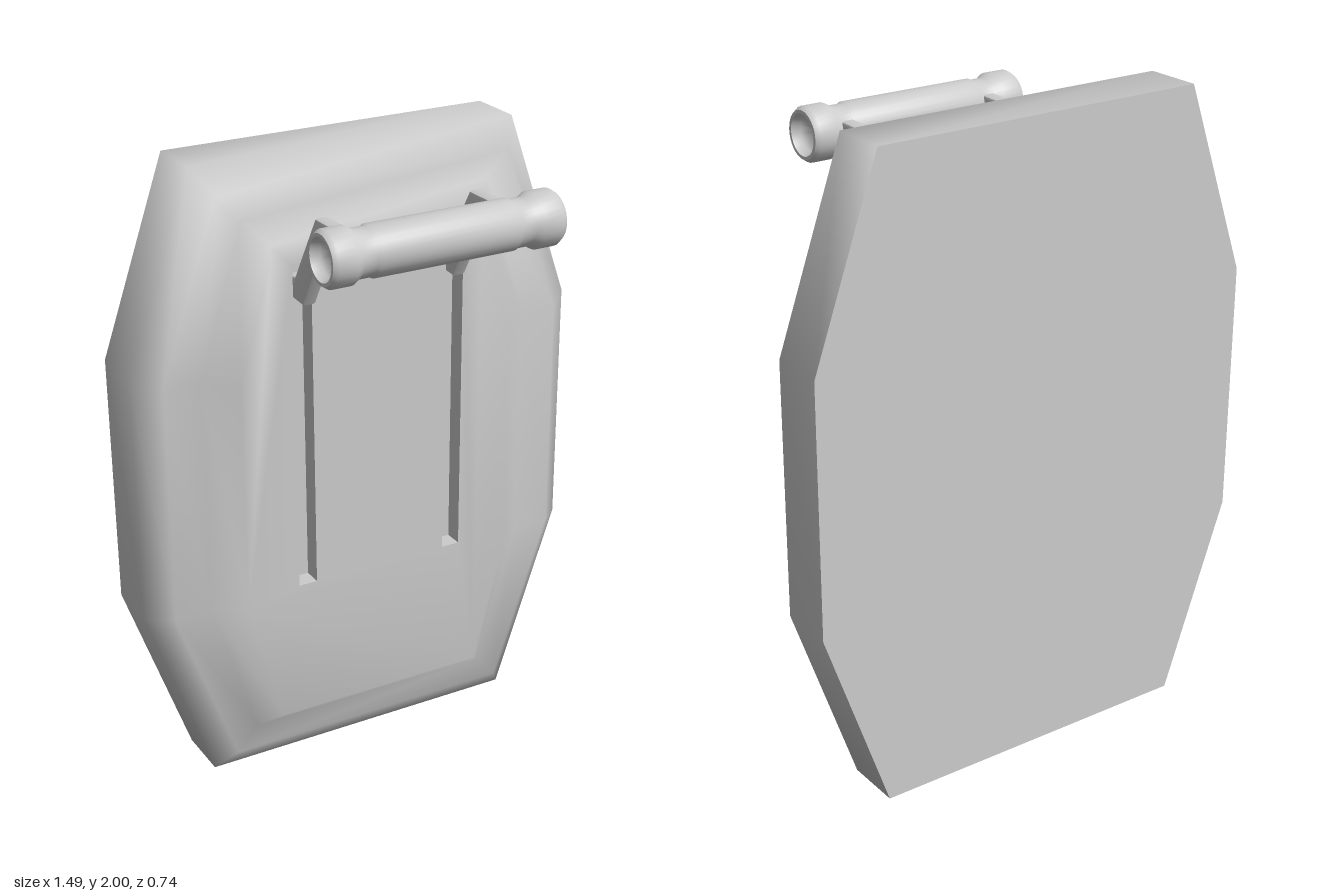
import * as THREE from 'three';
import { mergeGeometries, mergeVertices, toCreasedNormals } from 'three/addons/utils/BufferGeometryUtils.js';

const V = (x, y) => new THREE.Vector2(x, y);

// Elongated octagon, counter-clockwise from the front
function octagon(endHalf, midHalf, margin, midLow, midHigh) {
  return [
    V(-endHalf, margin), V(endHalf, margin), V(midHalf, midLow), V(midHalf, midHigh),
    V(endHalf, 2 - margin), V(-endHalf, 2 - margin), V(-midHalf, midHigh), V(-midHalf, midLow),
  ];
}

function rectangle(x, y0, y1, half) {
  return [V(x - half, y0), V(x + half, y0), V(x + half, y1), V(x - half, y1)];
}

// Walls between successive outlines: facing out when z rises, in when it falls
function loft(rings) {
  const pos = [], index = [], n = rings[0].points.length;
  for (const { points, z } of rings) for (const p of points) pos.push(p.x, p.y, z);
  for (let r = 0; r < rings.length - 1; r++) {
    for (let j = 0; j < n; j++) {
      const a = r * n + j, b = r * n + (j + 1) % n;
      index.push(a, b, b + n, a, b + n, a + n);
    }
  }
  const g = new THREE.BufferGeometry();
  g.setAttribute('position', new THREE.Float32BufferAttribute(pos, 3));
  g.setIndex(index);
  return g;
}

// Flat face pointing to +z, with optional holes
function face(points, z, holes = []) {
  const shape = new THREE.Shape(points);
  shape.holes = holes.map((h) => new THREE.Path(h));
  const g = new THREE.ShapeGeometry(shape).translate(0, 0, z);
  g.deleteAttribute('normal');
  g.deleteAttribute('uv');
  return g;
}

export function createModel() {
  const group = new THREE.Group();
  const material = new THREE.MeshStandardMaterial({ color: 0xcccccc });
  const add = (name, geometry) => {
    const mesh = new THREE.Mesh(geometry, material);
    mesh.name = name;
    group.add(mesh);
    return mesh;
  };

  const armX = 0.255, faceZ = -0.05, slotFloor = -0.11;
  const outer = octagon(0.535, 0.745, 0, 0.61, 1.4);
  const plateau = octagon(0.35, 0.46, 0.22, 0.63, 1.37);
  const slots = [-armX, armX].map((x) => rectangle(x, 0.67, 1.71, 0.03));

  // Bevelled slab with a raised, slotted plateau
  const walls = loft([
    { points: outer, z: -0.37 },
    { points: outer, z: -0.19 },
    { points: octagon(0.48, 0.67, 0.08, 0.62, 1.38), z: -0.122 },
    { points: octagon(0.41, 0.55, 0.16, 0.62, 1.38), z: -0.122 },
    { points: plateau, z: faceZ },
  ]);
  const body = mergeVertices(mergeGeometries([walls, face(plateau, faceZ, slots)]), 1e-4);
  body.computeVertexNormals();
  add('panelBody', body);

  // Flat back
  const back = face(outer, 0).rotateY(Math.PI).translate(0, 0, -0.37);
  back.computeVertexNormals();
  add('panelBack', back);

  // Recessed slots
  slots.forEach((points, i) => {
    const g = mergeGeometries([
      loft([{ points, z: faceZ }, { points, z: slotFloor }]),
      face(points, slotFloor),
    ]).toNonIndexed();
    g.computeVertexNormals();
    add(i ? 'leftSlot' : 'rightSlot', g);
  });

  // Bent arms from the slots to the handle, drawn as (z, y)
  const armShape = new THREE.Shape([
    V(-0.09, 1.61), V(-0.022, 1.606), V(0.103, 1.82), V(0.24, 1.82),
    V(0.24, 1.876), V(0.072, 1.873), V(-0.06, 1.66), V(-0.09, 1.66),
  ]);
  for (const side of [-1, 1]) {
    const g = new THREE.ExtrudeGeometry(armShape, {
      depth: 0.026, bevelEnabled: true, bevelThickness: 0.01, bevelSize: 0.009, bevelSegments: 2,
    });
    g.translate(0, 0, -0.013).rotateY(-Math.PI / 2).translate(side * (armX - 0.005), 0, 0);
    add(side > 0 ? 'leftArm' : 'rightArm', toCreasedNormals(g, 0.6));
  }

  // Handle bar with flared, dished ends: (radius, distance from middle)
  const half = [
    V(0, 0.325), V(0.035, 0.328), V(0.055, 0.342), V(0.063, 0.37), V(0.073, 0.37),
    V(0.083, 0.355), V(0.083, 0.295), V(0.07, 0.272), V(0.07, 0.23), V(0.075, 0.222),
  ];
  const profile = [...half.map((p) => V(p.x, -p.y)), ...half.slice().reverse()];
  const handle = new THREE.LatheGeometry(profile, 32);
  handle.rotateZ(-Math.PI / 2);
  add('handle', toCreasedNormals(handle, 0.7)).position.set(0, 1.847, 0.285);

  return group;
}
